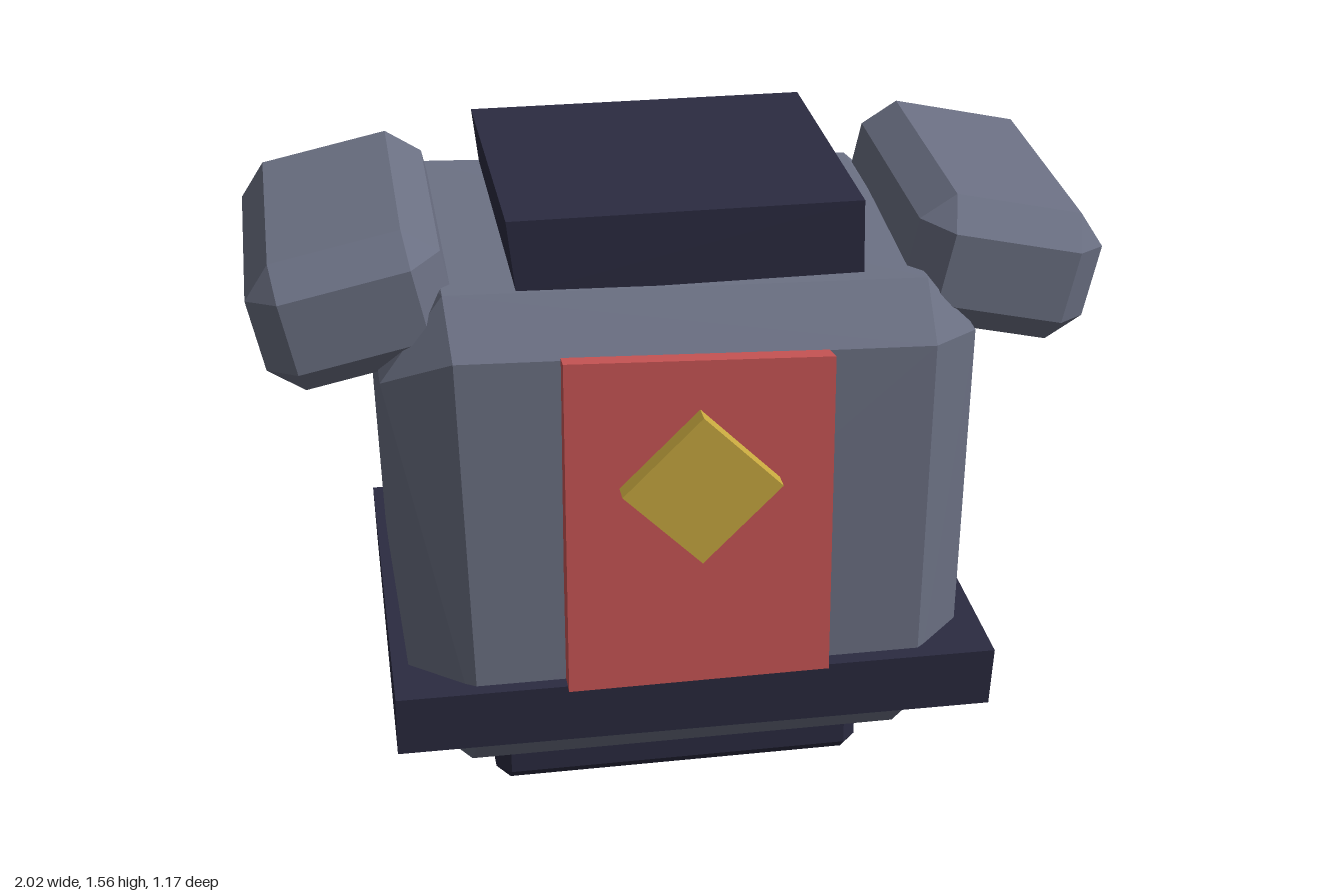
import * as THREE from 'three';
import { ConvexGeometry } from 'three/addons/geometries/ConvexGeometry.js';

const mat = (name, color) => {
  const m = new THREE.MeshStandardMaterial({ color, flatShading: true });
  m.name = name;
  return m;
};

// Faceted solid around a handful of corner points
const hull = (points) => new ConvexGeometry(points.map((p) => new THREE.Vector3(...p)));

// Box with every edge and corner cut off
function chamferBox(w, h, d, c) {
  const [x, y, z] = [w / 2, h / 2, d / 2];
  const points = [];
  for (const sx of [-1, 1]) for (const sy of [-1, 1]) for (const sz of [-1, 1]) {
    points.push([sx * x, sy * (y - c), sz * (z - c)]);
    points.push([sx * (x - c), sy * y, sz * (z - c)]);
    points.push([sx * (x - c), sy * (y - c), sz * z]);
  }
  return hull(points);
}

export function createModel() {
  const armor = mat('steel grey', 0x6b7083);
  const dark = mat('dark navy', 0x2b2b41);
  const red = mat('red', 0xcc5656);
  const gold = mat('gold', 0xc9a940);

  const model = new THREE.Group();
  model.name = 'armoredTorso';
  const add = (name, geometry, material, x = 0, y = 0, z = 0) => {
    const mesh = new THREE.Mesh(geometry, material);
    mesh.name = name;
    mesh.position.set(x, y, z);
    model.add(mesh);
    return mesh;
  };

  // Torso: chamfered block, wider at the shoulders and slightly uneven on top
  add('torso', hull([
    // underside
    [-0.54, 0.15, 0.36], [0.52, 0.15, 0.36], [0.52, 0.15, -0.42], [-0.54, 0.15, -0.42],
    // lower rim
    [-0.68, 0.29, 0.36], [-0.68, 0.29, -0.40], [0.665, 0.29, 0.36], [0.665, 0.29, -0.40],
    [-0.53, 0.29, 0.49], [0.54, 0.29, 0.49], [-0.55, 0.29, -0.53], [0.53, 0.29, -0.53],
    // upper rim
    [-0.72, 1.19, 0.365], [-0.71, 1.27, -0.40], [0.68, 1.22, 0.365], [0.67, 1.26, -0.40],
    [-0.56, 1.27, 0.465], [0.56, 1.235, 0.47], [-0.61, 1.31, -0.53], [0.54, 1.28, -0.52],
    // top
    [-0.57, 1.395, 0.36], [0.56, 1.36, 0.36], [0.53, 1.39, -0.39], [-0.56, 1.43, -0.405],
  ]), armor);

  // Belt: slightly skewed slab
  add('belt', hull([
    [-0.73, 0.28, 0.51], [0.72, 0.28, 0.52], [0.73, 0.28, -0.58], [-0.70, 0.28, -0.585],
    [-0.73, 0.435, 0.52], [0.725, 0.435, 0.53], [0.73, 0.435, -0.565], [-0.705, 0.435, -0.57],
  ]), dark);

  // Waist block and neck plate
  add('waist', chamferBox(0.925, 0.22, 0.575, 0.035), dark, -0.007, 0.11, -0.022);
  add('neckPlate', hull([
    [-0.40, 1.38, 0.35], [0.41, 1.38, 0.35], [0.41, 1.38, -0.39], [-0.40, 1.38, -0.39],
    [-0.42, 1.56, 0.35], [0.405, 1.56, 0.355], [0.405, 1.56, -0.39], [-0.42, 1.56, -0.40],
  ]), dark);

  // Shoulder pads sloping down and outwards
  for (const [name, side] of [['rightShoulder', -1], ['leftShoulder', 1]]) {
    const pad = add(name, chamferBox(0.455, 0.325, 0.79, 0.073), armor, side * 0.762, 1.345, -0.025);
    pad.rotation.set(0, -0.02, -side * 0.215);
  }

  // Chest panel with a diamond emblem
  add('chestPanel', hull([
    [-0.32, 0.43, 0.45], [0.31, 0.432, 0.45], [-0.32, 0.43, 0.54], [0.31, 0.432, 0.54],
    [-0.315, 1.265, 0.45], [0.305, 1.24, 0.45], [-0.32, 1.285, 0.535], [0.305, 1.26, 0.54],
  ]), red);
  const diamond = add('diamond', new THREE.BoxGeometry(0.265, 0.265, 0.085), gold, -0.008, 0.963, 0.5425);
  diamond.rotation.z = Math.PI / 4;

  return model;
}
